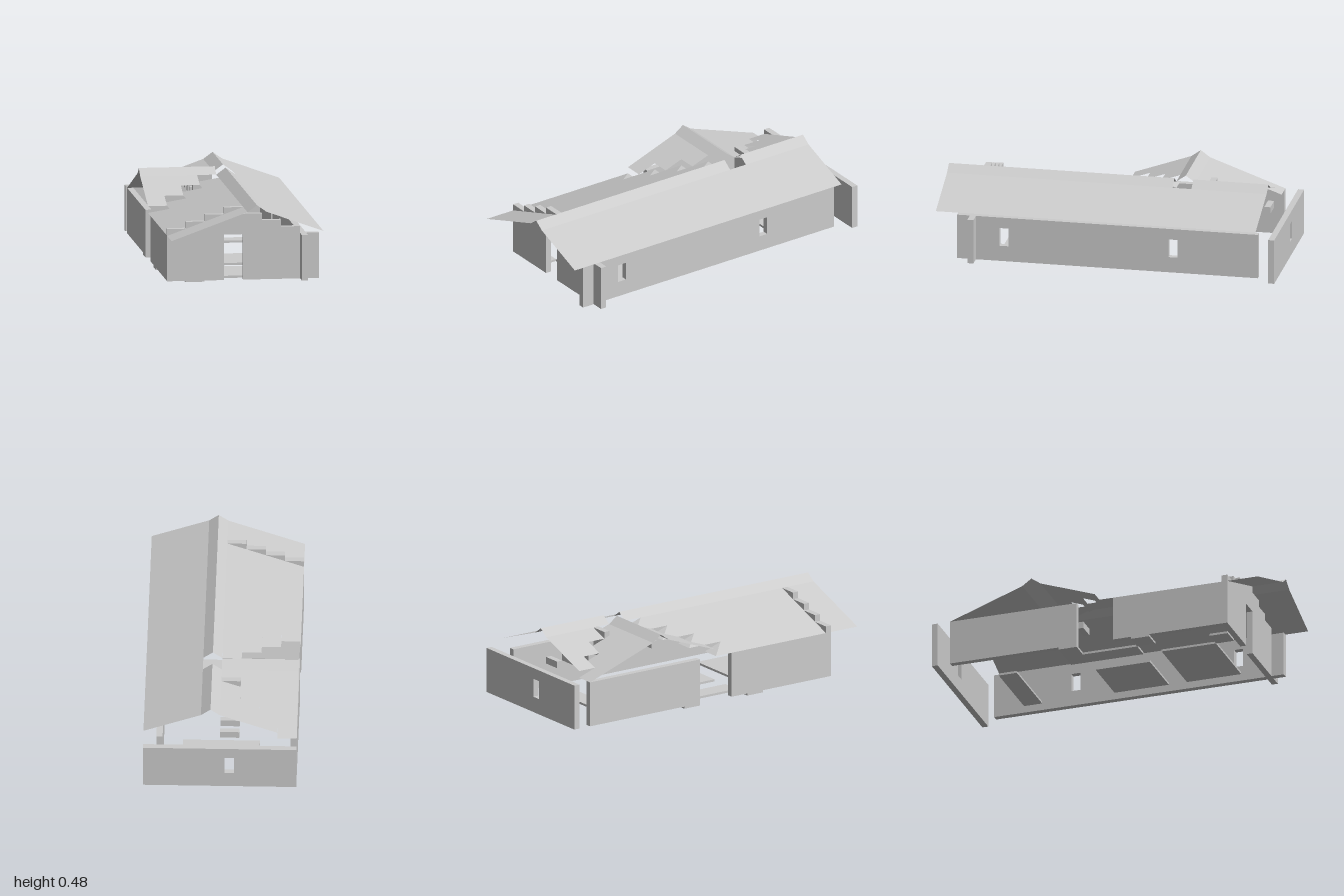
import * as THREE from 'three';

const U = 1 / 9;        // plan grid cell
const H = 0.04;         // roof rise per cell
const T = 0.036;        // wall thickness
const FLOOR = 0.013, TOP = 0.28;
const mat = new THREE.MeshStandardMaterial({ color: 0xcccccc, flatShading: true, side: THREE.DoubleSide });

export function createModel() {
  const root = new THREE.Group();

  const add = (parent, name, geo) => {
    const mesh = new THREE.Mesh(geo, mat);
    mesh.name = name;
    parent.add(mesh);
    return mesh;
  };
  const group = (name) => {
    const g = new THREE.Group();
    g.name = name;
    root.add(g);
    return g;
  };
  // Box given by its limits
  const box = (parent, name, x0, x1, y0, y1, z0, z1) => {
    const m = add(parent, name, new THREE.BoxGeometry(x1 - x0, y1 - y0, z1 - z0));
    m.position.set((x0 + x1) / 2, (y0 + y1) / 2, (z0 + z1) / 2);
    return m;
  };
  // Sheet of two triangles: a-b-c and a-c-d
  const sheet = (parent, name, a, b, c, d) => {
    const g = new THREE.BufferGeometry();
    g.setAttribute('position', new THREE.Float32BufferAttribute([a, b, c, a, c, d].flat(), 3));
    g.computeVertexNormals();
    add(parent, name, g);
  };
  // Sheet sloping along x, from height y0 at x0 to y1 at x1
  const slopeX = (p, name, x0, y0, x1, y1, z0, z1) =>
    sheet(p, name, [x0, y0, z1], [x1, y1, z1], [x1, y1, z0], [x0, y0, z0]);
  // Sheet sloping along z, from height y0 at z0 to y1 at z1
  const slopeZ = (p, name, x0, x1, z0, y0, z1, y1) =>
    sheet(p, name, [x0, y1, z1], [x1, y1, z1], [x1, y0, z0], [x0, y0, z0]);
  // Wall panel with rectangular windows, drawn in (u, y) and extruded by the wall thickness
  const panel = (u0, u1, windows) => {
    const rect = (path, a, b, c, d) => path.moveTo(a, c).lineTo(b, c).lineTo(b, d).lineTo(a, d).closePath();
    const s = rect(new THREE.Shape(), u0, u1, FLOOR, TOP);
    for (const [a, b] of windows) s.holes.push(rect(new THREE.Path(), a, b, 0.106, 0.215));
    return new THREE.ExtrudeGeometry(s, { depth: T, bevelEnabled: false });
  };

  // Walls
  const walls = group('walls');
  const back = add(walls, 'backWall', panel(-4 * U, 4 * U, [[-0.085, -0.028]]));
  back.position.z = -1;
  // u runs along -z once the panel is turned to face +x
  const right = add(walls, 'rightWall', panel(-8 * U, 8 * U, [[-0.64, -0.585], [0.36, 0.415]]));
  right.rotation.y = Math.PI / 2;
  right.position.x = 3 * U;
  box(walls, 'leftWallBack', -4 * U, -4 * U + T, FLOOR, TOP, -8 * U, -U);
  box(walls, 'leftWallFront', -4 * U, -4 * U + T, FLOOR, TOP, U, 7 * U);

  // Front wall with a doorway and stepped gable blocks
  const F0 = 7 * U, F1 = 7 * U + T;
  box(walls, 'frontWallLeftPart', -4 * U, -U, FLOOR, TOP, F0, F1);
  box(walls, 'frontWallRightPart', 0, 4 * U, FLOOR, TOP, F0, F1);
  [1, 2, 3, 4, 3, 2, 1].forEach((n, i) =>
    box(walls, 'gableStep', (i - 4) * U, (i - 3) * U, TOP, TOP + n * H, F0, F1));

  // Row of short cross blocks under the roof
  const blocks = group('roofBlocks');
  for (let k = 2; k <= 8; k++)
    box(blocks, 'crossBlock', -U, 0, TOP, k === 5 ? TOP + 4 * H : TOP + H, -k * U, -k * U + T);

  // Main roof, right side and ridge; one ridge cell is open
  const roof = group('mainRoof');
  const y4 = TOP + 4 * H, yR = TOP + 5 * H;
  slopeX(roof, 'rightSlope', U, y4, 4 * U, TOP + H, -8 * U, 9 * U);
  for (const [z0, z1] of [[-8 * U, -4 * U], [-3 * U, 9 * U]]) {
    slopeX(roof, 'ridgeLeft', 0, y4, U / 2, yR, z0, z1);
    slopeX(roof, 'ridgeRight', U / 2, yR, U, y4, z0, z1);
  }

  // Left side of the main roof and the cross roof, one column of cells at a time
  const cross = group('crossRoof');
  for (let i = 0; i < 4; i++) {
    const x0 = (i - 4) * U, x1 = x0 + U, y = TOP + i * H;
    const zf = (1 - i) * U, zb = (i - 8) * U;
    slopeX(roof, 'leftSlopeFront', x0, y, x1, y + H, zf, 9 * U);
    if (i > 0) slopeX(roof, 'leftSlopeBack', x0, y, x1, y + H, -8 * U, zb);
    if (i < 3) slopeZ(cross, 'crossFrontSlope', x0, x1, -3 * U, y4, zf - U, y + H);
    slopeZ(cross, 'crossBackSlope', x0, x1, zb, y, -4 * U, y4);
    // Corner piece with one raised corner
    sheet(cross, 'valleyCorner', [x0, y, zf - U], [x0, y, zf], [x1, y + H, zf], [x1, y, zf - U]);
  }
  slopeZ(cross, 'crossRidgeBack', -4 * U, 0, -4 * U, y4, -3.5 * U, yR);
  slopeZ(cross, 'crossRidgeFront', -4 * U, 0, -3.5 * U, yR, -3 * U, y4);

  // Floor slabs: cell limits x0, x1, z0, z1
  const floor = group('floor');
  for (const [a, b, c, d] of [
    [-2, 2, 3, 6], [-1, 2, -1, 2], [-2, 2, -6, -5],
    [-3, -2, -2, 2], [-4, -3, -2, -1], [-4, -3, 2, 3], [-3, -2, 6, 7],
  ]) box(floor, 'floorSlab', a * U, b * U, 0, FLOOR, c * U, d * U);

  return root;
}
